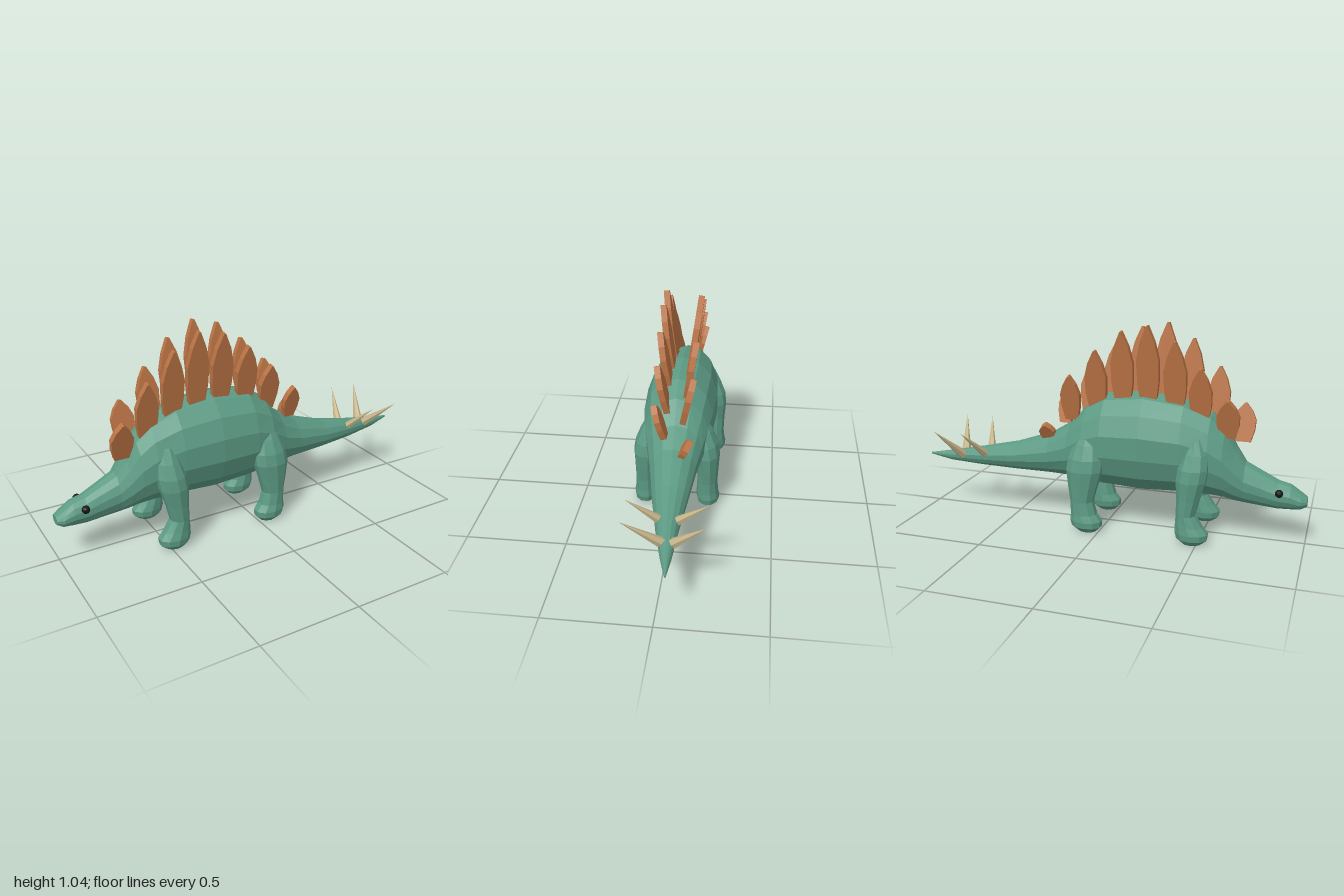
import * as THREE from 'three';

const material = (name, color) => {
  const m = new THREE.MeshStandardMaterial({ color });
  m.name = name;
  return m;
};

// Faceted normals: every face gets its own corners
function faceted(geometry) {
  const g = geometry.index ? geometry.toNonIndexed() : geometry;
  g.computeVertexNormals();
  return g;
}

// Skin elliptical rings { c, u, v } (centre and two half axes), with u x v along the loft
function loft(rings, sides) {
  const pos = [], index = [];
  const id = (i, j) => i * sides + (j % sides);
  for (const { c, u, v } of rings) {
    for (let j = 0; j < sides; j++) {
      const a = (j / sides) * Math.PI * 2, s = Math.sin(a), k = Math.cos(a);
      pos.push(c[0] + u[0] * k + v[0] * s, c[1] + u[1] * k + v[1] * s, c[2] + u[2] * k + v[2] * s);
    }
  }
  const last = rings.length - 1, start = rings.length * sides;
  pos.push(...rings[0].c, ...rings[last].c);
  for (let j = 0; j < sides; j++) {
    for (let i = 0; i < last; i++) {
      index.push(id(i, j), id(i, j + 1), id(i + 1, j), id(i, j + 1), id(i + 1, j + 1), id(i + 1, j));
    }
    index.push(start, id(0, j + 1), id(0, j), start + 1, id(last, j), id(last, j + 1));
  }
  const g = new THREE.BufferGeometry();
  g.setAttribute('position', new THREE.Float32BufferAttribute(pos, 3));
  g.setIndex(index);
  return faceted(g);
}

// Body sections from snout to tail tip: x, top, bottom, half width, z
const BODY = [
  [-1.0, 0.245, 0.2, 0.035, 0], [-0.97, 0.265, 0.183, 0.055, 0], [-0.92, 0.3, 0.178, 0.062, 0],
  [-0.86, 0.315, 0.175, 0.066, 0], [-0.79, 0.35, 0.18, 0.072, 0], [-0.7, 0.395, 0.188, 0.085, 0],
  [-0.65, 0.47, 0.195, 0.108, 0], [-0.6, 0.56, 0.205, 0.13, 0], [-0.53, 0.63, 0.21, 0.15, 0],
  [-0.4, 0.685, 0.212, 0.175, 0], [-0.2, 0.712, 0.202, 0.19, 0], [0, 0.69, 0.212, 0.18, 0],
  [0.1, 0.63, 0.225, 0.165, 0], [0.19, 0.53, 0.238, 0.14, -0.002], [0.3, 0.462, 0.243, 0.116, -0.005],
  [0.5, 0.395, 0.245, 0.086, -0.014], [0.7, 0.352, 0.25, 0.054, -0.026],
  [0.88, 0.318, 0.263, 0.026, -0.043], [1.0, 0.297, 0.288, 0.004, -0.055],
];

// Leg sections from sole to hip: y, x offset, half length, z, half width
const FRONT_LEG = [
  [0.005, -0.475, 0.045, 0.165, 0.035], [0.03, -0.475, 0.077, 0.163, 0.057], [0.06, -0.473, 0.083, 0.162, 0.061],
  [0.095, -0.458, 0.068, 0.16, 0.057], [0.15, -0.442, 0.048, 0.16, 0.052], [0.23, -0.452, 0.058, 0.16, 0.054],
  [0.32, -0.463, 0.074, 0.157, 0.064], [0.38, -0.47, 0.075, 0.145, 0.068], [0.45, -0.475, 0.06, 0.125, 0.06],
  [0.52, -0.475, 0.03, 0.11, 0.04],
];
const HIND_LEG = [
  [0.005, 0.06, 0.045, 0.165, 0.035], [0.03, 0.065, 0.078, 0.163, 0.057], [0.06, 0.068, 0.083, 0.162, 0.061],
  [0.095, 0.08, 0.068, 0.16, 0.056], [0.16, 0.09, 0.06, 0.16, 0.052], [0.24, 0.085, 0.077, 0.16, 0.056],
  [0.32, 0.078, 0.094, 0.157, 0.064], [0.38, 0.073, 0.092, 0.143, 0.068], [0.45, 0.07, 0.07, 0.122, 0.06],
  [0.52, 0.07, 0.035, 0.105, 0.04],
];

// Back plates of each row: x, base, tip, half width
const LEFT_PLATES = [
  [-0.675, 0.48, 0.665, 0.055], [-0.545, 0.55, 0.838, 0.055], [-0.41, 0.61, 0.968, 0.056], [-0.28, 0.64, 1.042, 0.056],
  [-0.15, 0.64, 1.015, 0.056], [-0.015, 0.62, 0.928, 0.055], [0.115, 0.57, 0.808, 0.053], [0.25, 0.5, 0.67, 0.043],
];
const RIGHT_PLATES = [
  [-0.615, 0.52, 0.71, 0.055], [-0.48, 0.58, 0.852, 0.055], [-0.355, 0.62, 0.975, 0.056], [-0.22, 0.64, 1.045, 0.056],
  [-0.09, 0.64, 1.012, 0.056], [0.045, 0.6, 0.912, 0.055], [0.18, 0.55, 0.78, 0.05], [0.31, 0.435, 0.522, 0.04],
];

// Upright leaf-shaped plate with its foot at the origin
function plateGeometry(h, w) {
  const shape = new THREE.Shape([
    [-0.65 * w, 0], [0.65 * w, 0], [0.95 * w, 0.32 * h], [w, 0.58 * h], [0.65 * w, 0.8 * h],
    [0.08 * w, h], [-0.08 * w, h], [-0.65 * w, 0.8 * h], [-w, 0.58 * h], [-0.95 * w, 0.32 * h],
  ].map(([x, y]) => new THREE.Vector2(x, y)));
  const g = new THREE.ExtrudeGeometry(shape, { depth: 0.03, bevelEnabled: false });
  return faceted(g.translate(0, 0, -0.015));
}

export function createModel() {
  const model = new THREE.Group();
  model.name = 'platedDinosaur';
  const skin = material('greenSkin', 0x5c9a84);
  const plate = material('rustPlate', 0xbb7445);
  const horn = material('paleHorn', 0xc7b78c);
  const black = material('blackEye', 0x161616);

  const add = (name, geometry, mat) => {
    const mesh = new THREE.Mesh(geometry, mat);
    mesh.name = name;
    model.add(mesh);
    return mesh;
  };

  // Head, trunk and tail in one skin
  add('body', loft(BODY.map(([x, top, bottom, w, z]) => ({
    c: [x, (top + bottom) / 2, z], u: [0, (top - bottom) / 2, 0], v: [0, 0, w],
  })), 14), skin);

  for (const side of [1, -1]) {
    const label = side > 0 ? 'Left' : 'Right';

    // Legs
    for (const [name, rows] of [['frontLeg', FRONT_LEG], ['hindLeg', HIND_LEG]]) {
      add(name + label, loft(rows.map(([y, x, l, z, w]) => ({
        c: [x, y, z * side], u: [0, 0, w], v: [l, 0, 0],
      })), 10), skin);
    }

    // Eyes
    add('eye' + label, faceted(new THREE.IcosahedronGeometry(0.02, 1)), black)
      .position.set(-0.87, 0.27, 0.065 * side);

    // Back plates, leaning outward
    (side > 0 ? LEFT_PLATES : RIGHT_PLATES).forEach(([x, base, tip, w], i) => {
      const lean = Math.atan2(0.05, tip - base);
      const mesh = add(`backPlate${label}${i + 1}`, plateGeometry((tip - base) / Math.cos(lean), w), plate);
      mesh.position.set(x, base, 0.042 * side);
      mesh.rotation.x = lean * side;
    });

    // Tail spikes
    [[0.66, 0.73, -0.03], [0.805, 0.885, -0.042]].forEach(([x, tipX, z], i) => {
      const foot = new THREE.Vector3(x, 0.305, z + 0.018 * side);
      const tip = new THREE.Vector3(tipX, 0.468, -0.033 + 0.187 * side);
      const dir = tip.clone().sub(foot);
      const mesh = add(`tailSpike${label}${i + 1}`, faceted(new THREE.ConeGeometry(0.026, dir.length(), 6)), horn);
      mesh.position.copy(foot).add(tip).multiplyScalar(0.5);
      mesh.quaternion.setFromUnitVectors(new THREE.Vector3(0, 1, 0), dir.normalize());
    });
  }
  return model;
}
